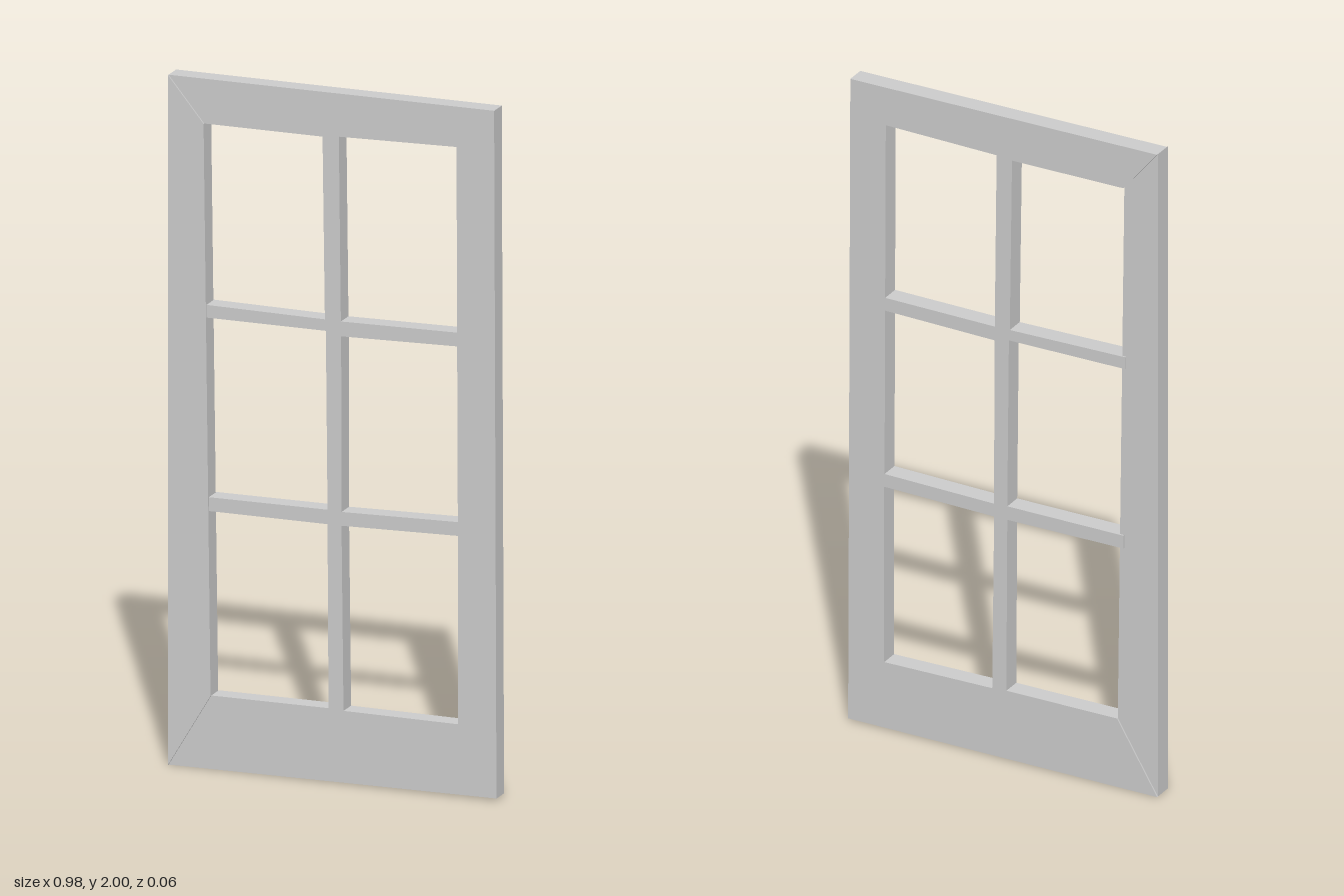
import * as THREE from 'three';

const toPath = (pts, Type) => new Type(pts.map(([x, y]) => new THREE.Vector2(x, y)));

// Flat panel with optional openings, spanning zBack..zFront
function panel(name, outline, holes, zBack, zFront, material) {
  const shape = toPath(outline, THREE.Shape);
  shape.holes = holes.map((h) => toPath(h, THREE.Path));
  const geometry = new THREE.ExtrudeGeometry(shape, { depth: zFront - zBack, bevelEnabled: false });
  geometry.translate(0, 0, zBack);
  const mesh = new THREE.Mesh(geometry, material);
  mesh.name = name;
  return mesh;
}

export function createModel() {
  const group = new THREE.Group();
  group.name = 'windowFrame';
  const material = new THREE.MeshStandardMaterial({ color: 0xcccccc, flatShading: true });

  // Corners shared by the mitred joints
  const topOuter = [-0.493, 2], topInner = [-0.386, 1.87];
  const bottomOuter = [-0.493, 0], bottomInner = [-0.365, 0.214];

  // Openings on the left of the picture: [top right, bottom right], open to the stile
  const openSides = [
    [[-0.031, 1.87], [-0.024, 1.341]],
    [[-0.021, 1.308], [-0.016, 0.79]],
    [[-0.016, 0.748], [-0.013, 0.215]],
  ];
  // Rails, centre bar, glazing bars and right stile as one piece
  const outline = [
    bottomOuter, [0.491, 0.007], [0.484, 2], topOuter, topInner,
    ...openSides[0], [-0.392, 1.345], [-0.392, 1.308],
    ...openSides[1], [-0.386, 0.788], [-0.386, 0.748],
    ...openSides[2], bottomInner,
  ];
  const panes = [
    [[0.018, 1.875], [0.371, 1.883], [0.373, 1.345], [0.024, 1.34]],
    [[0.025, 1.297], [0.373, 1.305], [0.375, 0.796], [0.026, 0.788]],
    [[0.026, 0.748], [0.376, 0.756], [0.376, 0.21], [0.032, 0.212]],
  ];
  group.add(panel('frameAndBars', outline, panes, -0.031, 0.026, material));

  // Separate mitred stile, set slightly forward
  group.add(panel('mitredStile', [bottomOuter, bottomInner, topInner, topOuter], [], -0.026, 0.031, material));
  return group;
}
